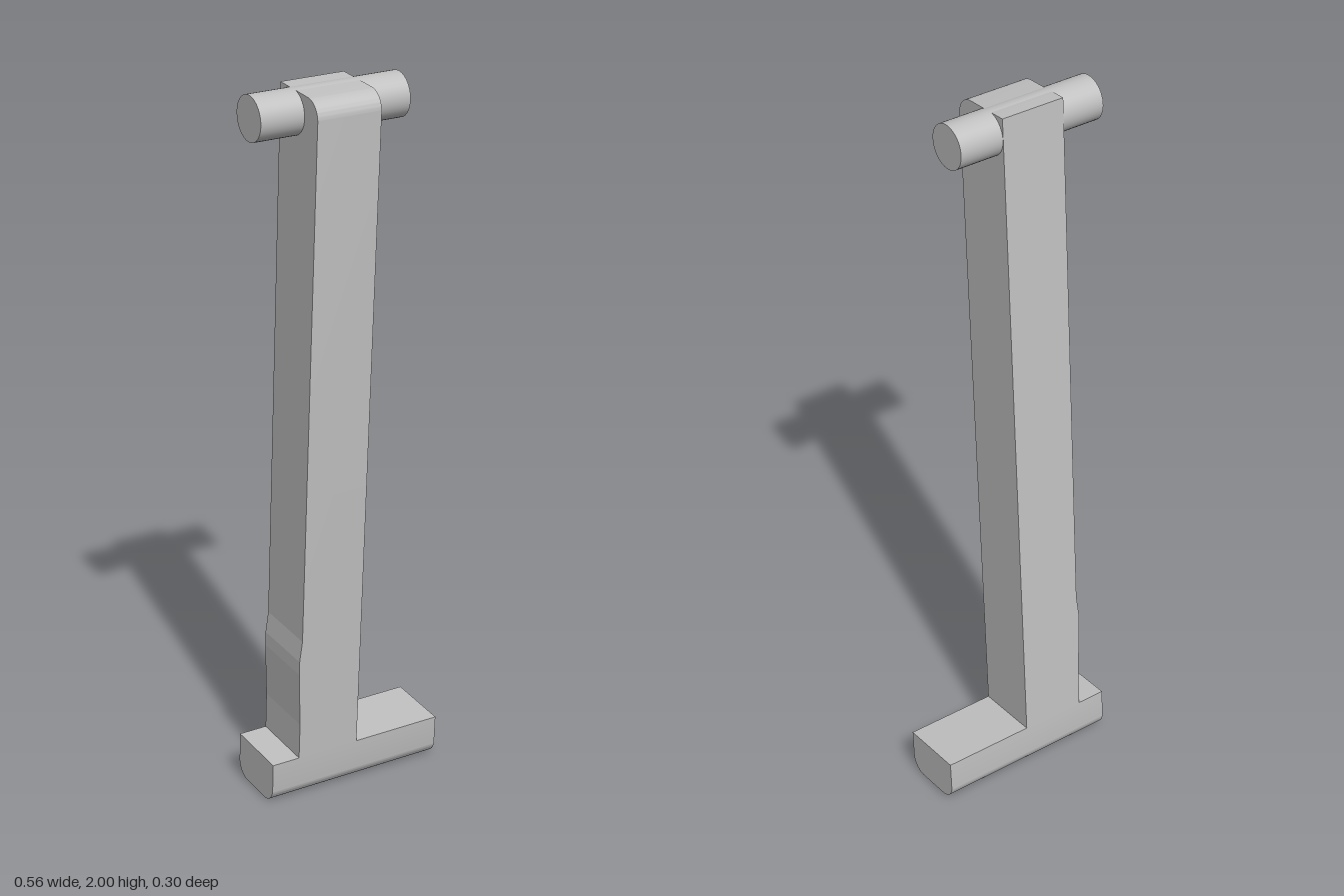
import * as THREE from 'three';
import { toCreasedNormals } from 'three/addons/utils/BufferGeometryUtils.js';

const TILT = 0.0614; // lean of the lever towards the front
const HALF = 0.0915; // half depth of shaft and foot

// Side profile (z, y) with a radius per corner: front top, back top, back bottom, front bottom
function profile(y0, y1, [ft, bt, bb, fb]) {
  const s = new THREE.Shape();
  s.moveTo(HALF, y0 + fb);
  s.lineTo(HALF, y1 - ft);
  if (ft) s.absarc(HALF - ft, y1 - ft, ft, 0, Math.PI / 2, false);
  s.lineTo(-HALF + bt, y1);
  if (bt) s.absarc(-HALF + bt, y1 - bt, bt, Math.PI / 2, Math.PI, false);
  s.lineTo(-HALF, y0 + bb);
  if (bb) s.absarc(-HALF + bb, y0 + bb, bb, Math.PI, Math.PI * 1.5, false);
  s.lineTo(HALF - fb, y0);
  if (fb) s.absarc(HALF - fb, y0 + fb, fb, Math.PI * 1.5, Math.PI * 2, false);
  return s;
}

// Extrude a side profile across x
function across(shape, x0, x1) {
  const g = new THREE.ExtrudeGeometry(shape, { depth: x1 - x0, bevelEnabled: false, curveSegments: 12 });
  g.rotateY(-Math.PI / 2);
  g.translate(x1, 0, 0);
  return toCreasedNormals(g, 0.5);
}

export function createModel() {
  const model = new THREE.Group();
  model.name = 'lever';
  const grey = new THREE.MeshStandardMaterial({ color: 0xc0c0c0 });
  grey.name = 'light grey';
  const add = (name, geometry, parent) => {
    const mesh = new THREE.Mesh(geometry, grey);
    mesh.name = name;
    parent.add(mesh);
    return mesh;
  };

  // Leaning body
  const body = new THREE.Group();
  body.name = 'leaningBody';
  body.position.y = 1;
  body.rotation.x = TILT;
  model.add(body);
  add('shaft', across(profile(-0.874, 0.996, [0.05, 0, 0, 0]), -0.16, 0.023), body);
  add('foot', across(profile(-0.999, -0.874, [0, 0, 0.045, 0.045]), -0.241, 0.282), body);

  // Slight swelling low on the right side of the shaft
  const swell = new THREE.Shape([
    [-0.159, -0.5], [-0.167, -0.57], [-0.167, -0.61], [-0.159, -0.79],
  ].map(([x, y]) => new THREE.Vector2(x, y)));
  const swellGeo = new THREE.ExtrudeGeometry(swell, { depth: HALF * 2, bevelEnabled: false });
  swellGeo.translate(0, 0, -HALF);
  add('swelling', swellGeo, body);

  // Round pivot pin through the top
  const pin = new THREE.CylinderGeometry(0.06, 0.06, 0.43, 40);
  pin.rotateZ(Math.PI / 2);
  add('pivotPin', pin, model).position.set(-0.068, 1.938, 0.027);

  return model;
}
